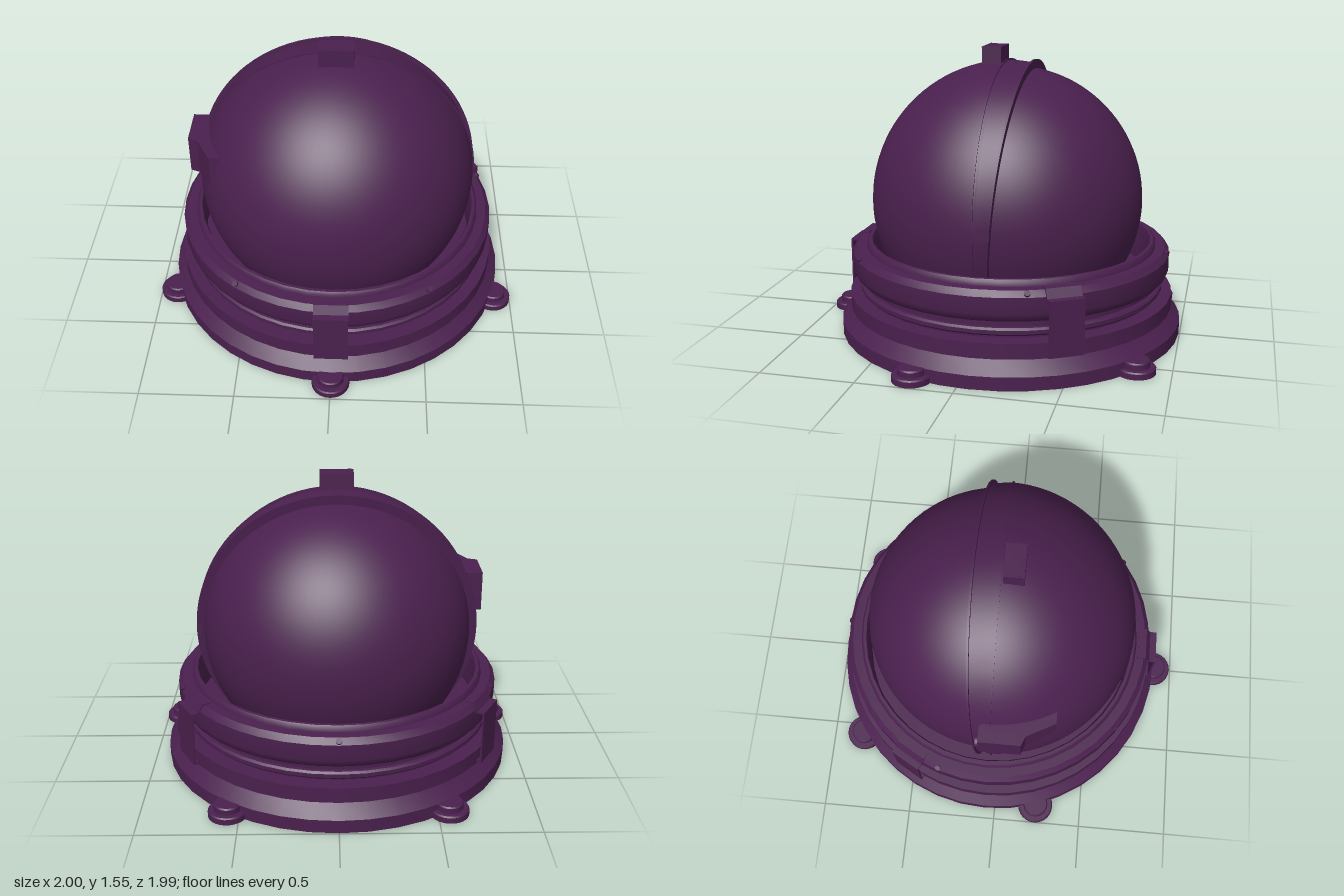
import * as THREE from 'three';
import { toCreasedNormals } from 'three/addons/utils/BufferGeometryUtils.js';

const material = new THREE.MeshStandardMaterial({ color: 0x4a204e, side: THREE.DoubleSide });
const AXIS_Z = -0.055; // centre line of the collar
const DOME_Y = 0.715;

function add(parent, name, geometry, x = 0, y = 0, z = 0) {
  const mesh = new THREE.Mesh(geometry, material);
  mesh.name = name;
  mesh.position.set(x, y, z);
  parent.add(mesh);
  return mesh;
}

const lathe = (points, segments, start = 0, length = Math.PI * 2) =>
  toCreasedNormals(new THREE.LatheGeometry(points.map(([r, y]) => new THREE.Vector2(r, y)), segments, start, length), 0.6);

const toShape = (points) => new THREE.Shape(points.map(([x, y]) => new THREE.Vector2(x, y)));

// Repeats a part around the collar, starting at the front plus an offset
function around(parent, name, count, offset, build) {
  for (let i = 0; i < count; i++) {
    const holder = new THREE.Group();
    holder.name = name;
    holder.rotation.y = offset + (i * Math.PI * 2) / count;
    build(holder);
    parent.add(holder);
  }
}

export function createModel() {
  const model = new THREE.Group();
  model.name = 'domedHelmet';
  const collar = new THREE.Group();
  collar.name = 'collar';
  collar.position.z = AXIS_Z;
  model.add(collar);

  // Stepped base, grooved neck, rounded ring, rim and inner well
  add(collar, 'collarRings', lathe([
    [0, 0], [0.94, 0], [0.94, 0.07], [0.87, 0.14], [0.89, 0.14], [0.89, 0.22],
    [0.81, 0.22], [0.81, 0.235], [0.825, 0.235], [0.835, 0.245], [0.835, 0.265], [0.825, 0.275],
    [0.805, 0.275], [0.805, 0.285], [0.82, 0.285], [0.82, 0.31],
    [0.845, 0.317], [0.862, 0.335], [0.87, 0.36], [0.87, 0.445], [0.845, 0.475],
    [0.795, 0.475], [0.792, 0.495], [0.782, 0.507], [0.765, 0.507],
    [0.755, 0.48], [0.755, 0.3], [0, 0.3],
  ], 40));

  // Five round feet
  around(collar, 'foot', 5, 0, (holder) => {
    add(holder, 'footPad', lathe([[0, 0], [0.1, 0], [0.1, 0.03], [0.094, 0.037], [0.07, 0.037],
      [0.07, 0.065], [0.064, 0.072], [0, 0.072]], 24), 0, 0, 0.947);
  });

  // Five small screws on the bevel of the ring
  around(collar, 'screw', 5, Math.PI / 5, (holder) => {
    const screw = add(holder, 'screwHead', new THREE.CylinderGeometry(0.016, 0.016, 0.016, 10), 0, 0.461, 0.858);
    screw.rotation.x = 0.7;
  });

  // Three bent strap clips, profile drawn as radius and height
  const clipShape = toShape([
    [0.885, 0.148], [0.912, 0.148], [0.912, 0.437], [0.876, 0.437], [0.85, 0.482], [0.805, 0.482],
    [0.805, 0.47], [0.84, 0.47], [0.866, 0.427], [0.902, 0.427], [0.902, 0.16], [0.885, 0.16],
  ]);
  around(collar, 'clip', 3, 0, (holder) => {
    const geometry = new THREE.ExtrudeGeometry(clipShape, { depth: 0.18, bevelEnabled: false });
    geometry.translate(0, 0, -0.09);
    geometry.rotateY(-Math.PI / 2);
    add(holder, 'clipStrap', geometry);
  });

  // Front visor and the slightly smaller rear shell
  add(model, 'visor', new THREE.SphereGeometry(0.75, 40, 36, 0, Math.PI, 0, 2.24), 0, DOME_Y, -0.05);
  add(model, 'rearShell', new THREE.SphereGeometry(0.72, 40, 36, Math.PI, Math.PI, 0, 2.24), 0, DOME_Y, -0.05);

  // Band between them, wider at the top, with a raised lip at the back
  const band = new THREE.LatheGeometry([
    [0.7, -1], [0.757, -1], [0.757, -0.92], [0.738, -0.92], [0.751, -0.05], [0.758, -0.05], [0.758, 0], [0.74, 0],
  ].map(([r, t]) => new THREE.Vector2(r, t)), 64, 0.9, Math.PI * 2 - 1.8);
  band.rotateX(Math.PI / 2);
  const p = band.attributes.position;
  for (let i = 0; i < p.count; i++) {
    p.setZ(i, -0.03 + p.getZ(i) * (0.088 + 0.083 * p.getY(i)));
  }
  add(model, 'visorBand', toCreasedNormals(band, 0.6), 0, DOME_Y, 0);

  // Block on the crown with three small studs
  const crown = new THREE.Group();
  crown.name = 'crownBlock';
  model.add(crown);
  add(crown, 'crownBody', new THREE.BoxGeometry(0.18, 0.1, 0.105), 0, 1.495, 0.0325);
  for (const x of [-0.07, 0, 0.07]) {
    add(crown, 'crownStud', new THREE.BoxGeometry(0.022, 0.006, 0.035), x, 1.545, 0.06);
  }

  // Wedge-shaped housing on one side of the dome, drawn in plan
  const side = new THREE.Group();
  side.name = 'sideHousing';
  model.add(side);
  const plan = toShape([[-0.78, 0.09], [-0.7, 0.09], [-0.6, 0], [-0.55, -0.3], [-0.65, -0.3], [-0.73, -0.15], [-0.78, -0.13]]);
  const housing = new THREE.ExtrudeGeometry(plan, { depth: 0.21, bevelEnabled: false });
  housing.rotateX(-Math.PI / 2);
  add(side, 'housingBody', housing, 0, 0.81, 0);
  const knob = add(side, 'housingKnob', new THREE.CylinderGeometry(0.035, 0.035, 0.03, 20), -0.735, 0.87, -0.095);
  knob.rotation.x = Math.PI / 2;

  // Pivot stub on the opposite side
  add(model, 'pivotStub', new THREE.BoxGeometry(0.025, 0.07, 0.07), 0.742, DOME_Y, -0.085);

  return model;
}
